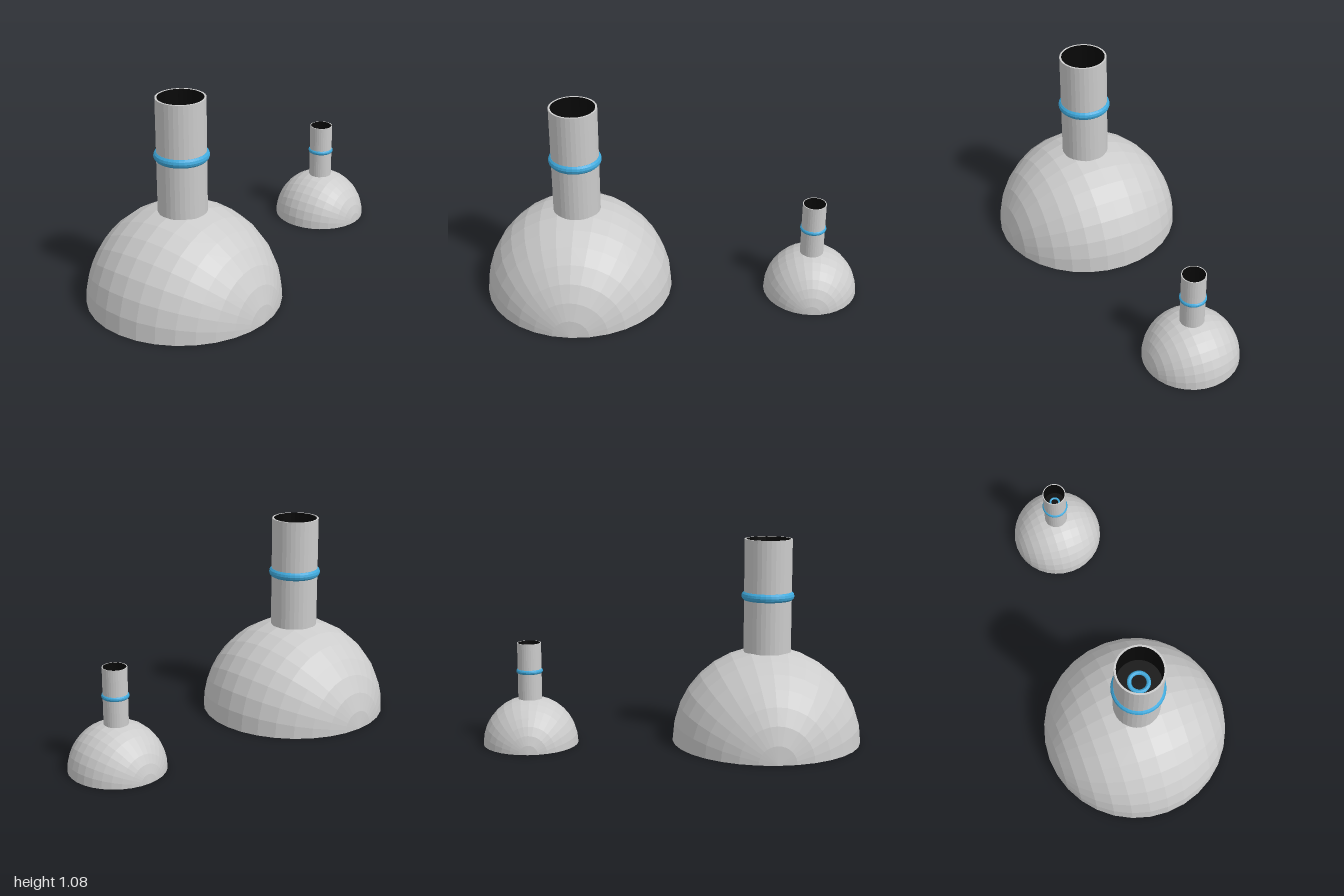
import * as THREE from 'three';

const SIDES = 32;
const material = (color) =>
  new THREE.MeshStandardMaterial({ color, flatShading: true, side: THREE.DoubleSide });
const grey = material(0xcccccc);
const blue = material(0x3fa9dc);
const black = material(0x080808);

function part(parent, name, geometry, mat, y = 0) {
  const mesh = new THREE.Mesh(geometry, mat);
  mesh.name = name;
  mesh.position.y = y;
  parent.add(mesh);
}

const lathe = (points) =>
  new THREE.LatheGeometry(points.map(([r, y]) => new THREE.Vector2(r, y)), SIDES);

const ring = (radius, tube) =>
  new THREE.TorusGeometry(radius, tube, 12, SIDES).rotateX(Math.PI / 2);

// One open-bottomed dome with a banded, hollow neck
function createDomeWithNeck(name, x, scale) {
  const group = new THREE.Group();
  group.name = name;

  // Half sphere whose poles lie on the z axis
  const dome = new THREE.SphereGeometry(0.5, 16, 16, 0, Math.PI).rotateX(-Math.PI / 2);
  part(group, 'dome', dome, grey);

  // Neck wall with its thin rim, and the dark bore inside
  part(group, 'neck', lathe([[0.125, 0.475], [0.125, 1.075], [0.115, 1.075]]), grey);
  part(group, 'bore', lathe([[0.115, 1.075], [0.115, 0.87], [0, 0.87]]), black);

  // Band around the neck and small ring on the floor of the bore
  part(group, 'neckBand', ring(0.114, 0.025), blue, 0.777);
  part(group, 'innerRing', ring(0.048, 0.011), blue, 0.875);

  group.position.x = x;
  group.scale.setScalar(scale);
  return group;
}

export function createModel() {
  const model = new THREE.Group();
  model.name = 'domePair';
  model.add(createDomeWithNeck('largeDome', -0.5, 1));
  model.add(createDomeWithNeck('smallDome', 0.75, 0.5));
  return model;
}
